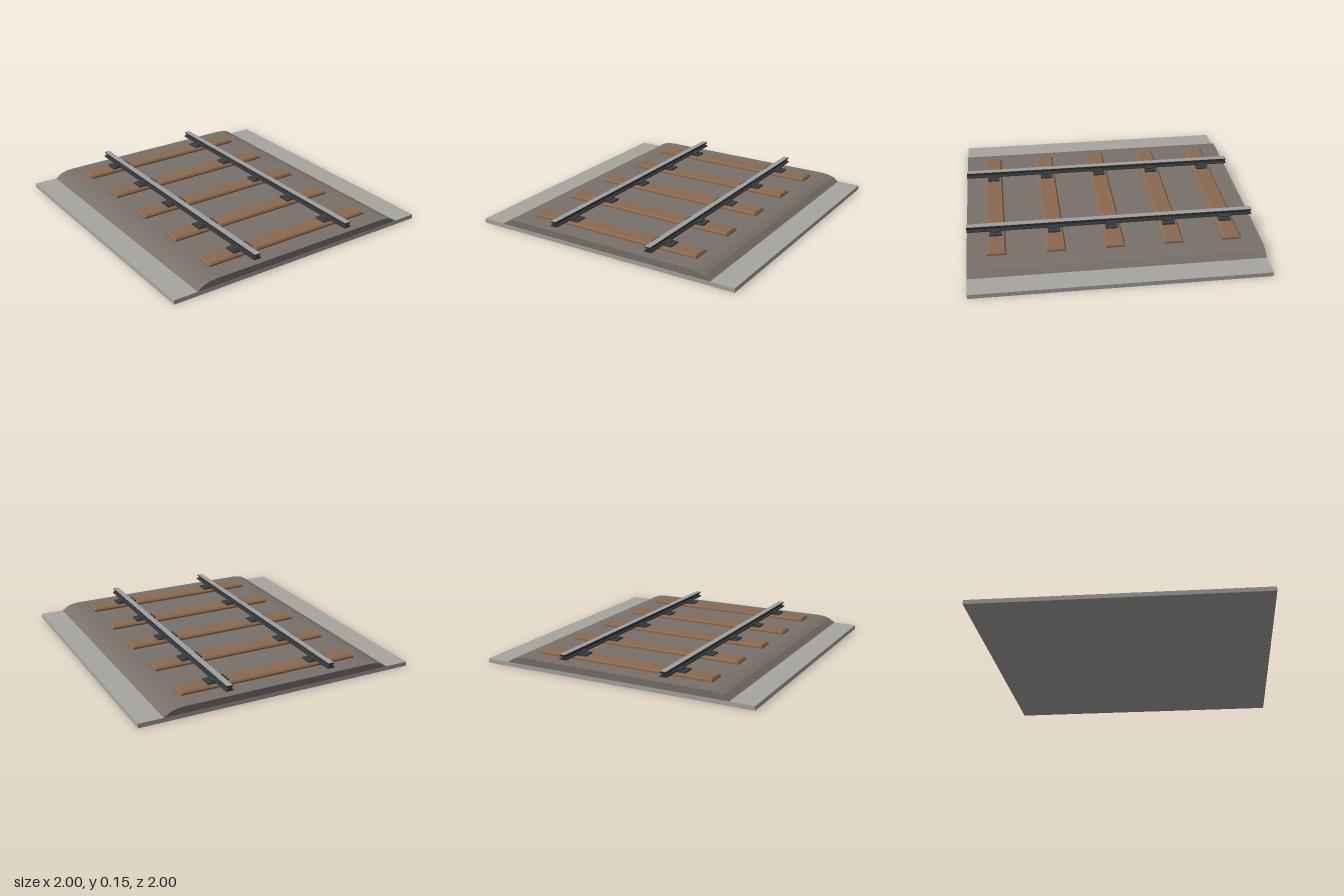
import * as THREE from 'three';

const mat = (name, color) => {
  const m = new THREE.MeshStandardMaterial({ color });
  m.name = name;
  return m;
};

// Shape from the right half of a symmetric profile, listed bottom to top
function mirroredShape(half) {
  const left = half.map(([x, y]) => [-x, y]).reverse();
  return new THREE.Shape([...half, ...left].map(([x, y]) => new THREE.Vector2(x, y)));
}

// Symmetric profile extruded along the full length of the track
function trackProfile(half) {
  return new THREE.ExtrudeGeometry(mirroredShape(half), { depth: 2, bevelEnabled: false }).translate(0, 0, -1);
}

// Block with chamfered edges, placed by its top height
function chamferedBlock(w, h, d, c, top) {
  const x = w / 2 - c, z = d / 2 - c;
  const shape = mirroredShape([[x, -z], [x, z]]);
  const geo = new THREE.ExtrudeGeometry(shape, {
    depth: h - 2 * c, bevelSize: c, bevelThickness: c, bevelSegments: 1,
  });
  return geo.rotateX(-Math.PI / 2).translate(0, top - h + c, 0);
}

export function createModel() {
  const concrete = mat('concrete', 0xa6a5a0);
  const gravel = mat('gravel', 0x79706a);
  const wood = mat('wood', 0x8a6a50);
  const iron = mat('dark iron', 0x3a3d3f);
  const railSteel = mat('rail steel', 0x303334);
  const polished = mat('polished steel', 0x9da09e);

  const model = new THREE.Group();
  model.name = 'railwayTrack';
  const add = (name, geo, material, x = 0, y = 0, z = 0) => {
    const mesh = new THREE.Mesh(geo, material);
    mesh.name = name;
    mesh.position.set(x, y, z);
    model.add(mesh);
  };

  // Ground slab and ballast bed with rounded shoulders
  add('groundSlab', new THREE.BoxGeometry(2, 0.03, 2), concrete, 0, 0.015);
  add('ballastBed', trackProfile([
    [0.83, 0.03], [0.785, 0.06], [0.74, 0.073], [0.69, 0.077],
  ]), gravel);

  // Sleepers, each with a base plate and clips under both rails
  const railX = 0.377;
  const sleeper = chamferedBlock(1.3, 0.044, 0.13, 0.011, 0.1);
  const plate = new THREE.BoxGeometry(0.15, 0.012, 0.086);
  const clip = new THREE.BoxGeometry(0.085, 0.008, 0.06);
  for (let i = -2; i <= 2; i++) {
    const z = i * 0.4;
    add('sleeper', sleeper, wood, 0, 0, z);
    for (const side of [-1, 1]) {
      add('basePlate', plate, iron, side * railX, 0.105, z);
      add('railClip', clip, iron, side * railX, 0.115, z);
    }
  }

  // Rails: foot, narrow web and head, with a polished running surface
  const rail = trackProfile([
    [0.027, 0.111], [0.027, 0.116], [0.007, 0.123],
    [0.007, 0.132], [0.02, 0.138], [0.02, 0.147],
  ]);
  const tread = new THREE.BoxGeometry(0.04, 0.003, 2);
  for (const side of [-1, 1]) {
    add('rail', rail, railSteel, side * railX);
    add('runningSurface', tread, polished, side * railX, 0.1485);
  }
  return model;
}
